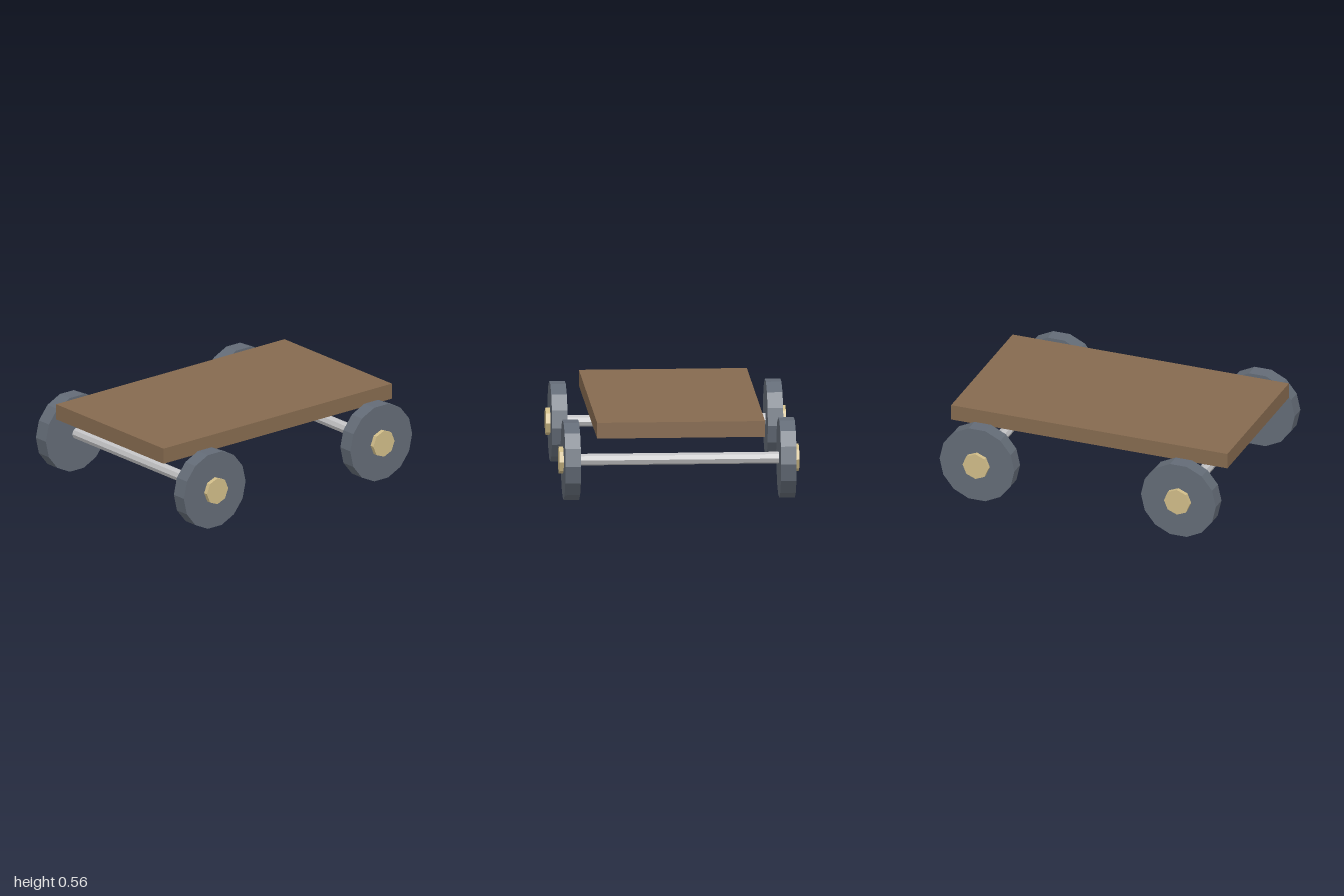
import * as THREE from 'three';

const flat = (name, color) => {
  const m = new THREE.MeshStandardMaterial({ color, flatShading: true });
  m.name = name;
  return m;
};

export function createModel() {
  const wood = flat('wood', 0x856a4f);
  const rubber = flat('slate wheel', 0x636b76);
  const brass = flat('pale brass', 0xd0bc88);
  const steel = flat('steel', 0xc2c2c4);

  const model = new THREE.Group();
  model.name = 'cart';

  // Deck board
  const deck = new THREE.Mesh(new THREE.BoxGeometry(1.134, 0.108, 2), wood);
  deck.name = 'deck';
  deck.position.y = 0.511;
  model.add(deck);

  // Cylinder lying along x, with corners at front and back
  const rod = (name, radius, length, sides, material, x, parent) => {
    const geometry = new THREE.CylinderGeometry(radius, radius, length, sides);
    geometry.rotateZ(Math.PI / 2);
    const mesh = new THREE.Mesh(geometry, material);
    mesh.name = name;
    mesh.position.x = x;
    parent.add(mesh);
  };

  // Two axles, each with a wheel and hub cap at both ends
  for (const [name, z] of [['front', 0.729], ['rear', -0.729]]) {
    const wheelset = new THREE.Group();
    wheelset.name = name + 'Wheelset';
    wheelset.position.set(0, 0.265, z);
    rod(name + 'Axle', 0.04, 1.4, 8, steel, 0, wheelset);
    for (const [side, s] of [['Left', 1], ['Right', -1]]) {
      rod(name + side + 'Wheel', 0.271, 0.105, 14, rubber, s * 0.728, wheelset);
      rod(name + side + 'Hub', 0.093, 0.06, 8, brass, s * 0.78, wheelset);
    }
    model.add(wheelset);
  }
  return model;
}
